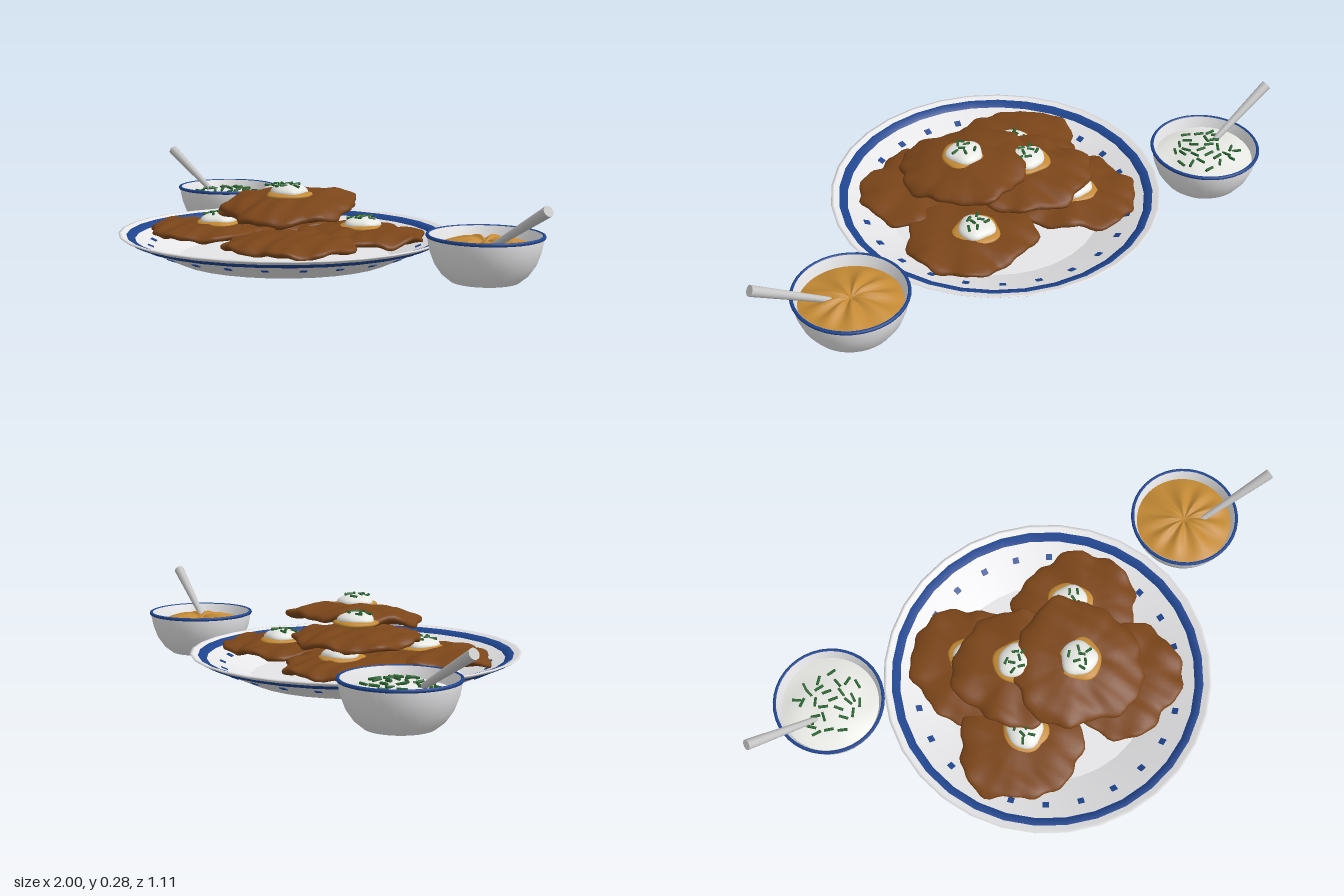
import * as THREE from 'three';
import { mergeVertices } from 'three/addons/utils/BufferGeometryUtils.js';

const flat = (name, color) => {
  const m = new THREE.MeshStandardMaterial({ color });
  m.name = name;
  return m;
};

export function createModel() {
  const ceramic = flat('white ceramic', 0xe6e6e8);
  const blue = flat('blue glaze', 0x1f4590);
  const brown = flat('fried brown', 0x7b4519);
  const orange = flat('apple sauce', 0xc48a35);
  const cream = flat('sour cream', 0xf2f2ee);
  const green = flat('chive green', 0x2a6632);
  const steel = flat('steel', 0xc4c4c4);

  const model = new THREE.Group();
  let seed = 7;
  const rand = () => (seed = (seed * 16807) % 2147483647) / 2147483647;

  const add = (parent, name, geometry, material, x = 0, y = 0, z = 0) => {
    const mesh = new THREE.Mesh(geometry, material);
    mesh.name = name;
    mesh.position.set(x, y, z);
    parent.add(mesh);
    return mesh;
  };
  const group = (name, x = 0, y = 0, z = 0) => {
    const g = new THREE.Group();
    g.name = name;
    g.position.set(x, y, z);
    model.add(g);
    return g;
  };
  const lathe = (pts, sides) => {
    const g = new THREE.LatheGeometry(pts.map(p => new THREE.Vector2(...p)), sides);
    return g;
  };
  // Moves every vertex by a rule, then welds and smooths
  const deform = (geometry, rule) => {
    geometry.deleteAttribute('uv');
    geometry.deleteAttribute('normal');
    const p = geometry.attributes.position, v = new THREE.Vector3();
    for (let i = 0; i < p.count; i++) {
      rule(v.fromBufferAttribute(p, i));
      p.setXYZ(i, v.x, v.y, v.z);
    }
    const g = mergeVertices(geometry, 1e-5);
    g.computeVertexNormals();
    return g;
  };

  // Plate with sloping wall, blue ring and dots
  const plate = group('plate');
  add(plate, 'plateDish', lathe([[0, 0], [0.36, 0], [0.36, 0], [0.55, 0.085], [0.555, 0.09],
    [0.545, 0.091], [0.355, 0.009], [0.355, 0.009], [0, 0.009]], 32), ceramic);
  add(plate, 'plateRing', lathe([[0.5, 0.060], [0.528, 0.073], [0.528, 0.086],
    [0.5, 0.0738], [0.5, 0.060]], 32), blue);
  for (let i = 0; i < 24; i++) {
    const a = i * Math.PI / 12;
    const dot = add(plate, 'plateDot', new THREE.BoxGeometry(0.021, 0.014, 0.021), blue,
      0.45 * Math.sin(a), 0.0455, 0.45 * Math.cos(a));
    dot.rotation.set(-0.41, a, 0, 'YXZ');
  }

  // Ragged fried patties: a bottom layer of four, then two stacked on top
  const pattyGeometry = (r, h, droop, k) => deform(new THREE.SphereGeometry(1, 72, 24), v => {
    const a = Math.atan2(v.z, v.x), rho = Math.hypot(v.x, v.z);
    const edge = 1 + 0.045 * Math.sin(3 * a + k) + 0.035 * Math.sin(5 * a + 2.3 * k)
      + 0.025 * Math.sin(9 * a + 1.7 * k) + 0.018 * Math.sin(16 * a + 3 * k);
    const s = r * edge * rho;
    const x = s * Math.cos(a), z = s * Math.sin(a);
    const bump = 0.004 * Math.sin(34 * x + k) * Math.sin(31 * z + 2 * k)
      + 0.0025 * Math.sin(75 * x - 40 * z + k)
      + 0.007 * rho ** 4 * Math.sin(7 * a + k);
    v.set(x, h * Math.sign(v.y) * Math.abs(v.y) ** 0.7 - droop * rho * rho + bump, z);
  });
  [
    [-0.21, 0.095, -0.16, 0.205, 0.022, 0.008, 0, 0],
    [0.205, 0.095, -0.155, 0.21, 0.022, 0.008, 0, 0],
    [-0.2, 0.095, 0.165, 0.205, 0.022, 0.008, 0, 0],
    [0.205, 0.095, 0.13, 0.21, 0.022, 0.008, 0, 0],
    [-0.09, 0.158, -0.05, 0.21, 0.024, 0.012, 0, 0],
    [0.085, 0.208, 0.05, 0.22, 0.027, 0.02, 0.1, -0.05],
  ].forEach(([x, y, z, r, h, droop, tiltX, tiltZ], i) => {
    const patty = add(model, 'patty', pattyGeometry(r, h, droop, 1.3 + i * 2.1), brown, x, y, z);
    patty.rotation.set(tiltX, 0, tiltZ);
  });

  // Chopped chives scattered over a mound
  const chives = (parent, count, spread, length, heightAt) => {
    const stick = new THREE.CylinderGeometry(0.0048, 0.0048, length, 6);
    for (let i = 0; i < count; i++) {
      const a = i * 2.4 + rand() * 0.6, r = spread * Math.sqrt((i + 0.5) / count);
      const chive = add(parent, 'chive', stick, green, r * Math.cos(a), heightAt(r), r * Math.sin(a));
      chive.rotation.set(Math.PI / 2 + (rand() - 0.5) * 0.4, rand() * Math.PI * 2, 0, 'YXZ');
    }
  };

  // Dollops: cream on a spread of sauce
  [
    [-0.17, 0.112, 0.15], [0.19, 0.112, -0.18], [-0.2, 0.112, -0.17],
    [-0.09, 0.2, -0.05], [0.09, 0.228, 0.05],
  ].forEach(([x, y, z], i) => {
    const dollop = group('dollop', x, y, z);
    const blob = (r, h, k) => deform(new THREE.SphereGeometry(1, 32, 14), v => {
      const a = Math.atan2(v.z, v.x), w = r * (1 + 0.05 * Math.sin(3 * a + k) + 0.03 * Math.sin(5 * a));
      v.set(v.x * w, v.y * h, v.z * w);
    });
    add(dollop, 'sauceSpread', blob(0.077, 0.016, i), orange);
    add(dollop, 'creamDollop', blob(0.061, 0.026, i + 2), cream, 0, 0.01, 0);
    chives(dollop, 7, 0.042, 0.024, r => 0.011 + 0.026 * Math.sqrt(1 - (r / 0.061) ** 2));
  });

  // Two side bowls with blue rim, filling and spoon
  for (const side of [-1, 1]) {
    const bowl = group(side > 0 ? 'sauceBowl' : 'creamBowl', side * 0.69, 0, -0.255);
    add(bowl, 'bowlShell', lathe([[0, 0], [0.108, 0], [0.108, 0], [0.135, 0.022], [0.158, 0.055],
      [0.173, 0.095], [0.183, 0.146], [0.174, 0.146], [0.163, 0.1], [0.145, 0.06], [0, 0.04]], 40), ceramic);
    const rim = add(bowl, 'bowlRim', new THREE.TorusGeometry(0.18, 0.006, 8, 40), blue, 0, 0.143, 0);
    rim.rotation.x = Math.PI / 2;

    const mound = r => 0.108 + 0.028 * Math.cos(Math.min(r / 0.163, 1) * Math.PI / 2);
    const surface = new THREE.SphereGeometry(1, 64, 24, 0, Math.PI * 2, 0, Math.PI / 2);
    add(bowl, side > 0 ? 'sauceFilling' : 'creamFilling', deform(surface, v => {
      const a = Math.atan2(v.z, v.x), rho = Math.hypot(v.x, v.z);
      const fold = side > 0
        ? 0.007 * Math.sin(9 * a + Math.sin(2 * a)) * Math.sin(Math.PI * rho) - 0.012 * Math.exp(-rho * rho * 40)
        : 0.003 * Math.sin(3 * a + 6 * rho) * rho;
      v.set(v.x * 0.164, mound(rho * 0.164) + fold, v.z * 0.164);
    }), side > 0 ? orange : cream);
    if (side < 0) chives(bowl, 28, 0.115, 0.032, r => mound(r) + 0.004);

    // Spoon handle widens toward its free end
    const top = new THREE.Vector3(side * 0.301, 0.26, 0.048);
    const low = new THREE.Vector3(side * 0.045, 0.112, 0.028);
    const axis = top.clone().sub(low);
    const spoon = add(bowl, 'spoonHandle', new THREE.CylinderGeometry(0.018, 0.009, axis.length(), 14), steel,
      ...top.clone().add(low).multiplyScalar(0.5).toArray());
    spoon.quaternion.setFromUnitVectors(new THREE.Vector3(0, 1, 0), axis.normalize());
    const head = add(bowl, 'spoonHead', new THREE.SphereGeometry(1, 16, 10), steel, side * 0.015, 0.096, 0.026);
    head.scale.set(0.045, 0.01, 0.03);
  }
  return model;
}
